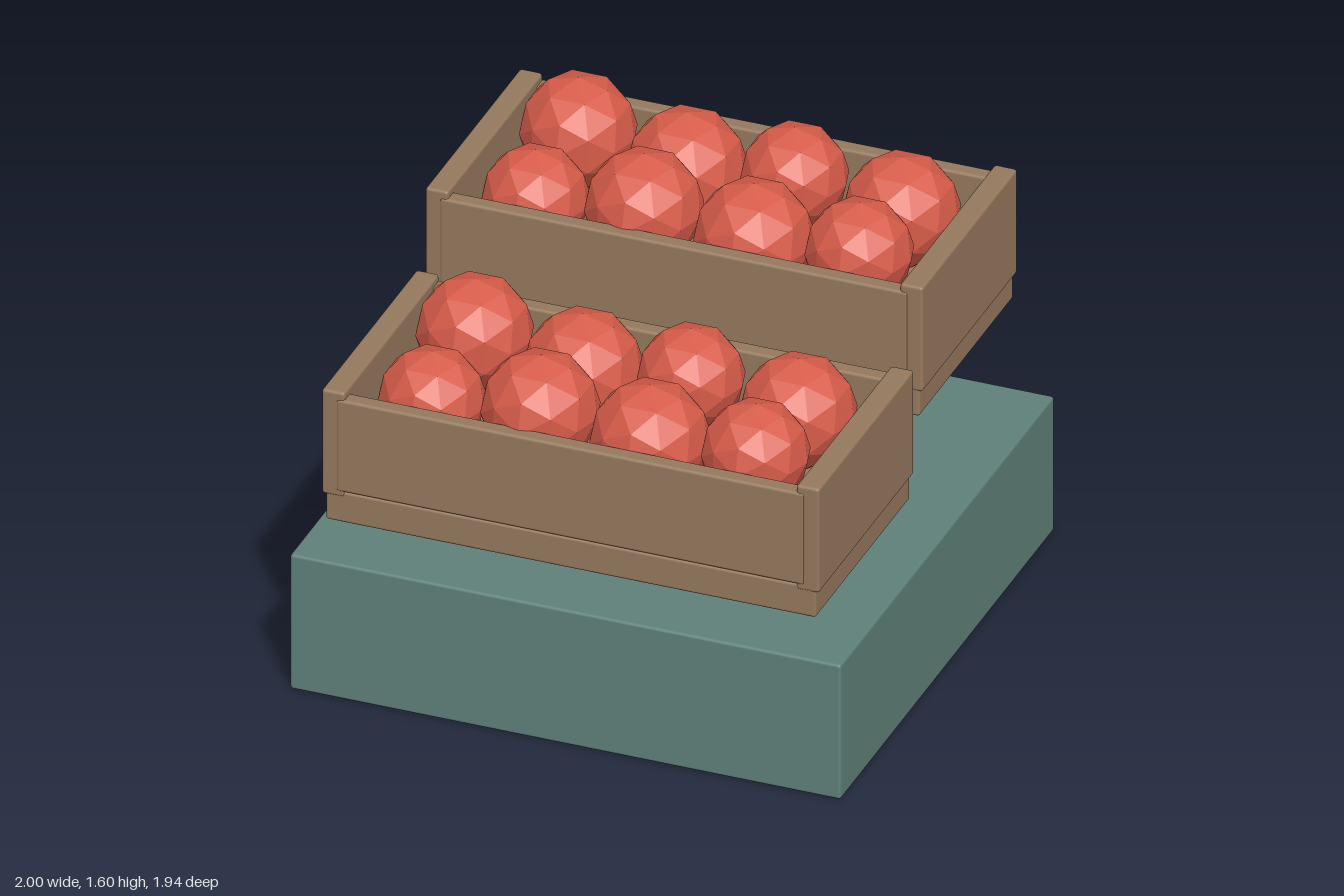
import * as THREE from 'three';
import { RoundedBoxGeometry } from 'three/addons/geometries/RoundedBoxGeometry.js';

const material = (name, color, flatShading = false) => {
  const m = new THREE.MeshStandardMaterial({ color, flatShading });
  m.name = name;
  return m;
};

export function createModel() {
  const teal = material('teal paint', 0x5f8079);
  const wood = material('brown wood', 0x95795d);
  const red = material('red fruit skin', 0xd65b49, true);

  // Softly bevelled box given by its minimum and maximum corners
  const box = (parent, name, mat, min, max) => {
    const size = max.map((v, i) => v - min[i]);
    const mesh = new THREE.Mesh(new RoundedBoxGeometry(...size, 2, 0.011), mat);
    mesh.position.set(...max.map((v, i) => (v + min[i]) / 2));
    mesh.name = name;
    parent.add(mesh);
  };

  // Fruit: x, height of centre, z, radius (relative to crate centre and underside)
  const fruits = [
    [-0.595, 0.465, -0.19, 0.203], [-0.2, 0.412, -0.186, 0.208],
    [0.19, 0.457, -0.19, 0.187], [0.58, 0.41, -0.188, 0.203],
    [-0.595, 0.41, 0.199, 0.187], [-0.202, 0.46, 0.196, 0.206],
    [0.194, 0.423, 0.19, 0.209], [0.58, 0.457, 0.197, 0.188],
  ];
  const fruitShape = new THREE.IcosahedronGeometry(1, 1);

  const makeCrate = (name, y, z) => {
    const crate = new THREE.Group();
    crate.name = name;
    box(crate, 'crateFloor', wood, [-0.89, 0, -0.428], [0.89, 0.12, 0.428]);
    for (const s of [-1, 1]) {
      const side = s > 0 ? 'left' : 'right';
      const face = s > 0 ? 'front' : 'back';
      const x = [s * 0.82, s * 0.903].sort((a, b) => a - b);
      const w = [s * 0.375, s * 0.435].sort((a, b) => a - b);
      box(crate, `${side}EndPanel`, wood, [x[0], 0.1, -0.431], [x[1], 0.507, 0.431]);
      box(crate, `${face}Wall`, wood, [-0.85, 0.122, w[0]], [0.85, 0.48, w[1]]);
    }
    for (const [fx, fy, fz, r] of fruits) {
      const fruit = new THREE.Mesh(fruitShape, red);
      fruit.name = 'fruit';
      fruit.position.set(fx, fy, fz);
      fruit.scale.setScalar(r);
      crate.add(fruit);
    }
    crate.position.set(0, y, z);
    return crate;
  };

  const model = new THREE.Group();
  model.name = 'fruitStand';
  box(model, 'standBase', teal, [-1, 0, -0.97], [1, 0.525, 0.97]);
  model.add(makeCrate('frontCrate', 0.66, 0.493), makeCrate('backCrate', 0.935, -0.447));
  return model;
}
